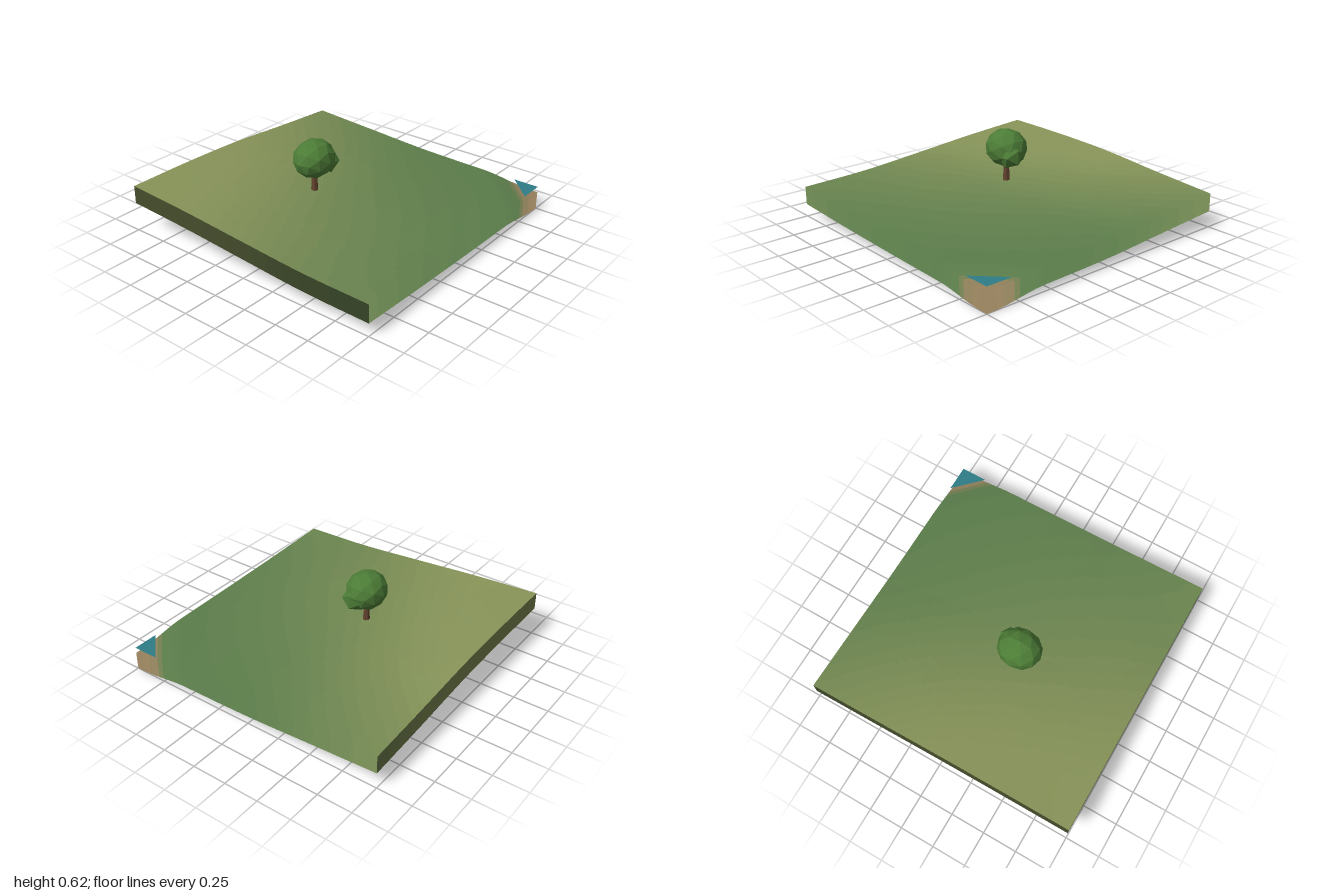
import * as THREE from 'three';

const N = 48, SKIRT = 0.13, BANDS = 24;
const { smoothstep, clamp } = THREE.MathUtils;

// Ground heights: rows run from back to front, columns from x = -1 to x = 1
const HEIGHTS = [
  [0.345, 0.342, 0.325, 0.285, 0.25],
  [0.315, 0.3, 0.278, 0.25, 0.22],
  [0.275, 0.256, 0.237, 0.215, 0.19],
  [0.238, 0.228, 0.213, 0.195, 0.178],
  [0.225, 0.205, 0.19, 0.179, 0.17],
];

// Smooth curve through five evenly spaced values, t in -1..1
function spline(v, t) {
  const u = (t + 1) * 2, i = clamp(Math.floor(u), 0, 3), f = u - i;
  const b = v[i], c = v[i + 1];
  const a = i > 0 ? v[i - 1] : 2 * b - c;
  const d = i < 3 ? v[i + 2] : 2 * c - b;
  return b + 0.5 * f * (c - a + f * (2 * a - 5 * b + 4 * c - d + f * (3 * (b - c) + d - a)));
}

// Rolling slope with a dip at the front corner
const ground = (x, z) =>
  spline(HEIGHTS.map((row) => spline(row, x)), z) - 0.036 * smoothstep(x + z, 1.55, 1.95);

function groundNormal(x, z) {
  const e = 0.01;
  return new THREE.Vector3(
    ground(x - e, z) - ground(x + e, z), 2 * e, ground(x, z - e) - ground(x, z + e),
  ).normalize();
}

// Sandy shore, green meadow and dry upland, chosen by height
const LOW = 0.13, RANGE = 0.22;
const sand = new THREE.Color(0x96805c), meadow = new THREE.Color(0x5a7c4a), dry = new THREE.Color(0x889459);
const bandMaterials = Array.from({ length: BANDS }, (_, i) => {
  const h = LOW + (RANGE * (i + 0.5)) / BANDS;
  const color = h < 0.18
    ? sand.clone().lerp(meadow, smoothstep(h, 0.137, 0.163))
    : meadow.clone().lerp(dry, smoothstep(h, 0.17, 0.325));
  return new THREE.MeshStandardMaterial({ color, roughness: 1, side: THREE.DoubleSide });
});

// Sheet of nu x nv cells from point(u, v), shaded by the slope and grouped by height colour
function sheet(name, nu, nv, point) {
  const pos = [], normals = [], bands = bandMaterials.map(() => []);
  for (let j = 0; j <= nv; j++) for (let i = 0; i <= nu; i++) {
    const p = point(i / nu, j / nv);
    pos.push(...p);
    normals.push(...groundNormal(p[0], p[2]).toArray());
  }
  const tri = (...corners) => {
    let h = 0;
    for (const k of corners) h += ground(pos[3 * k], pos[3 * k + 2]) / 3;
    bands[clamp(Math.floor(((h - LOW) / RANGE) * BANDS), 0, BANDS - 1)].push(...corners);
  };
  for (let j = 0; j < nv; j++) for (let i = 0; i < nu; i++) {
    const a = j * (nu + 1) + i, b = a + 1, c = a + nu + 1, d = c + 1;
    tri(a, c, b);
    tri(b, c, d);
  }
  const geo = new THREE.BufferGeometry();
  geo.setAttribute('position', new THREE.Float32BufferAttribute(pos, 3));
  geo.setAttribute('normal', new THREE.Float32BufferAttribute(normals, 3));
  geo.setIndex(bands.flat());
  let start = 0;
  bands.forEach((list, k) => {
    if (list.length) geo.addGroup(start, list.length, k);
    start += list.length;
  });
  const mesh = new THREE.Mesh(geo, bandMaterials);
  mesh.name = name;
  return mesh;
}

// Ground surface with a hanging skirt on each edge, open underneath
function createTerrain() {
  const terrain = new THREE.Group();
  terrain.name = 'terrain';
  terrain.add(sheet('groundTop', N, N, (u, v) => {
    const x = 2 * u - 1, z = 2 * v - 1;
    return [x, ground(x, z), z];
  }));
  const edges = {
    frontSkirt: (t) => [t, 1], leftSkirt: (t) => [1, -t],
    backSkirt: (t) => [-t, -1], rightSkirt: (t) => [-1, t],
  };
  for (const [name, edge] of Object.entries(edges)) {
    terrain.add(sheet(name, N, 1, (u, v) => {
      const [x, z] = edge(2 * u - 1);
      return [x, ground(x, z) - SKIRT * v, z];
    }));
  }
  return terrain;
}

function createTree() {
  const tree = new THREE.Group();
  tree.name = 'tree';
  tree.position.set(-0.135, 0, -0.13);
  const bark = new THREE.MeshStandardMaterial({ color: 0x63432f, roughness: 1, flatShading: true });
  const leaf = new THREE.MeshStandardMaterial({ color: 0x4c7c36, roughness: 1, flatShading: true });

  // Tapered trunk standing on the slope
  const trunk = new THREE.Mesh(new THREE.CylinderGeometry(0.017, 0.025, 0.16, 7), bark);
  trunk.name = 'trunk';
  trunk.position.y = 0.33;

  // Faceted crown with a smaller clump on one side
  const crown = new THREE.Mesh(new THREE.IcosahedronGeometry(1, 1), leaf);
  crown.name = 'crown';
  crown.scale.set(0.16, 0.137, 0.143);
  crown.position.y = 0.492;
  const clump = new THREE.Mesh(new THREE.IcosahedronGeometry(0.095, 0), leaf);
  clump.name = 'sideClump';
  clump.position.set(0.086, 0.458, 0.032);
  clump.rotation.x = Math.PI / 2;
  tree.add(trunk, crown, clump);
  return tree;
}

export function createModel() {
  const model = new THREE.Group();
  model.name = 'hillsideWithTree';
  model.add(createTerrain(), createTree());

  // Corner of still water above the dip
  const corner = new THREE.Shape([[0.81, -1], [1, -1], [1, -0.81]].map(([x, y]) => new THREE.Vector2(x, y)));
  const water = new THREE.Mesh(
    new THREE.ShapeGeometry(corner).rotateX(-Math.PI / 2),
    new THREE.MeshStandardMaterial({ color: 0x2e7d88, side: THREE.DoubleSide }),
  );
  water.name = 'water';
  water.position.y = 0.177;
  model.add(water);
  return model;
}
